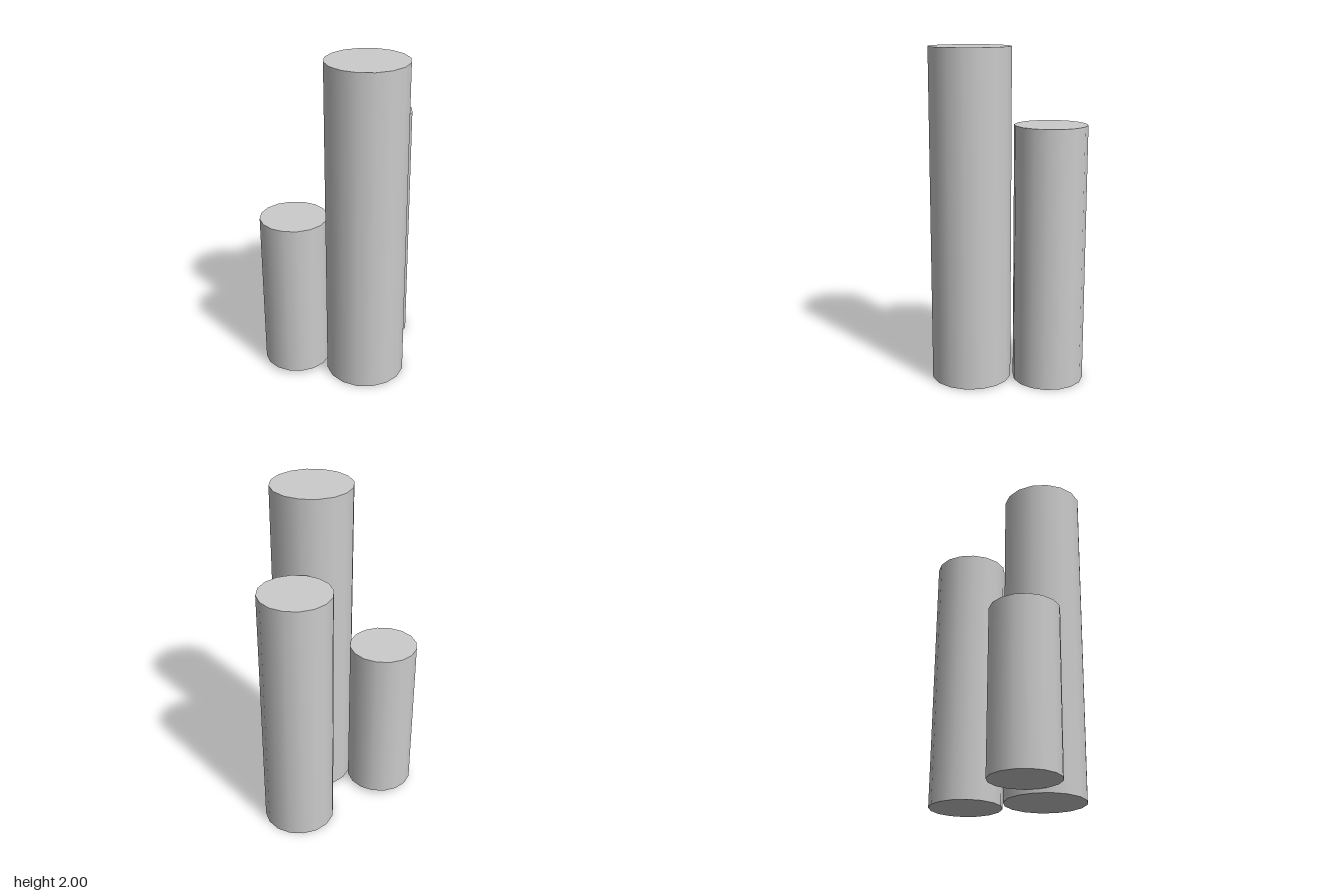
import * as THREE from 'three';

export function createModel() {
  const group = new THREE.Group();
  const material = new THREE.MeshStandardMaterial({ color: 0xcccccc });

  // Upright sixteen-sided column, smooth around its side
  function column(name, radius, bottom, top, x, z) {
    const geometry = new THREE.CylinderGeometry(radius, radius, top - bottom, 16);
    const mesh = new THREE.Mesh(geometry, material);
    mesh.name = name;
    mesh.position.set(x, (bottom + top) / 2, z);
    group.add(mesh);
  }

  // Three columns of stepped heights
  column('tallColumn', 0.242, 0.004, 2, 0, 0.161);
  column('middleColumn', 0.214, 0, 1.555, 0.308, -0.193);
  column('shortColumn', 0.205, 0.025, 1.012, -0.318, -0.146);

  return group;
}
